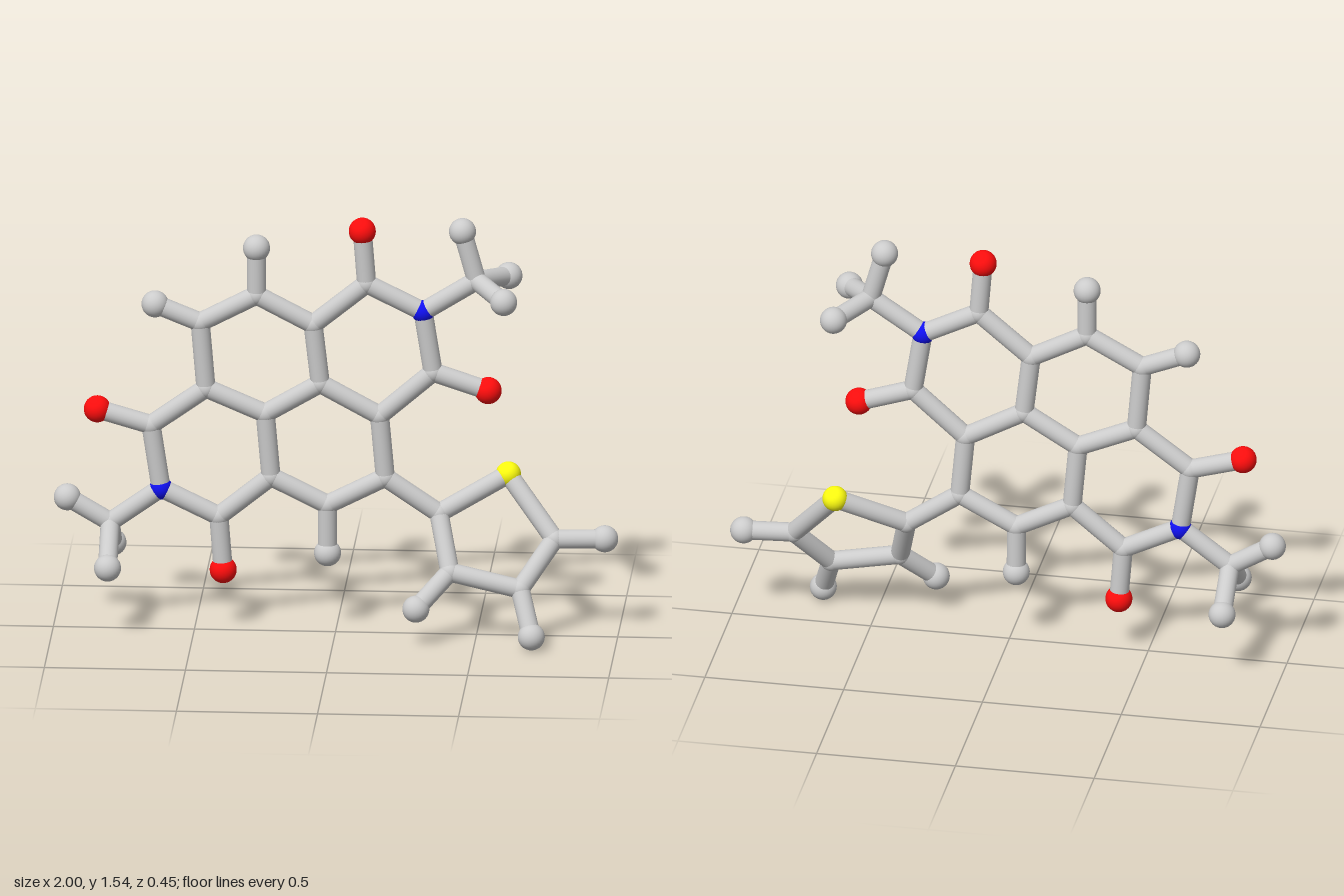
import * as THREE from 'three';

const BOND_RADIUS = 0.034;
const grey = new THREE.MeshStandardMaterial({ color: 0xcccccc });
const red = new THREE.MeshStandardMaterial({ color: 0xff0d0d });
const blue = new THREE.MeshStandardMaterial({ color: 0x1010f0 });
const yellow = new THREE.MeshStandardMaterial({ color: 0xffff10 });

// Sphere radius and material for each kind of atom
const KINDS = {
  carbon: [0.037, grey],
  hydrogen: [0.048, grey],
  oxygen: [0.048, red],
  nitrogen: [0.041, blue],
  sulfur: [0.045, yellow],
};

// The flat core leans very slightly: z follows height
const coreZ = (y) => -0.035 + 0.0245 * y;
// The five-sided side ring lies in its own tilted plane
const ringZ = (x, y) => -0.12 - 0.0935 * (x - 0.605) - 0.598 * (y - 0.56);

export function createModel() {
  const model = new THREE.Group();

  function addAtom(parent, kind, p) {
    const [radius, material] = KINDS[kind];
    const atom = new THREE.Mesh(new THREE.SphereGeometry(radius, 28, 18), material);
    atom.position.copy(p);
    atom.name = kind + 'Atom';
    parent.add(atom);
  }

  function addBond(parent, a, b) {
    const dir = b.clone().sub(a);
    const bond = new THREE.Mesh(new THREE.CylinderGeometry(BOND_RADIUS, BOND_RADIUS, dir.length(), 24), grey);
    bond.position.copy(a).addScaledVector(dir, 0.5);
    bond.quaternion.setFromUnitVectors(new THREE.Vector3(0, 1, 0), dir.normalize());
    bond.name = 'bond';
    parent.add(bond);
  }

  // Builds atoms [kind, x, y, z], then bonds between pairs of their names
  const points = {};
  function addPart(name, atoms, bonds) {
    const part = new THREE.Group();
    part.name = name;
    for (const [key, [kind, x, y, z]] of Object.entries(atoms)) {
      points[key] = new THREE.Vector3(x, y, z);
      addAtom(part, kind, points[key]);
    }
    for (const pair of bonds.split(' ')) {
      const [a, b] = pair.split('-');
      addBond(part, points[a], points[b]);
    }
    model.add(part);
  }

  const core = (kind, x, y) => [kind, x, y, coreZ(y)];
  const ring = (kind, x, y) => [kind, x, y, ringZ(x, y)];

  // Four fused six-sided rings
  addPart('fusedRings', {
    c1: core('carbon', 0.11, 1.29),
    n1: core('nitrogen', 0.31, 1.19),
    c2: core('carbon', 0.345, 0.965),
    c3: core('carbon', 0.155, 0.8),
    c4: core('carbon', -0.055, 0.915),
    c5: core('carbon', -0.08, 1.135),
    c6: core('carbon', -0.28, 1.24),
    c7: core('carbon', -0.48, 1.135),
    c8: core('carbon', -0.46, 0.89),
    c9: core('carbon', -0.25, 0.8),
    c10: core('carbon', -0.655, 0.75),
    n2: core('nitrogen', -0.62, 0.515),
    c11: core('carbon', -0.415, 0.415),
    c12: core('carbon', -0.23, 0.565),
    c13: core('carbon', -0.03, 0.465),
    c14: core('carbon', 0.175, 0.57),
  }, 'c1-n1 n1-c2 c2-c3 c3-c4 c4-c5 c5-c1 c5-c6 c6-c7 c7-c8 c8-c9 c9-c4 ' +
     'c8-c10 c10-n2 n2-c11 c11-c12 c12-c9 c12-c13 c13-c14 c14-c3');

  // Oxygen arms
  addPart('oxygenArms', {
    o1: core('oxygen', 0.095, 1.485),
    o2: core('oxygen', 0.54, 0.9),
    o3: core('oxygen', -0.845, 0.805),
    o4: core('oxygen', -0.4, 0.215),
  }, 'c1-o1 c2-o2 c10-o3 c11-o4');

  // Hydrogen arms of the core
  addPart('hydrogenArms', {
    h1: core('hydrogen', -0.28, 1.415),
    h2: core('hydrogen', -0.64, 1.2),
    h3: core('hydrogen', -0.03, 0.285),
  }, 'c6-h1 c7-h2 c13-h3');

  // Three-armed end groups
  addPart('upperMethyl', {
    m1: ['carbon', 0.5, 1.31, 0],
    m1a: ['hydrogen', 0.45, 1.49, 0],
    m1b: ['hydrogen', 0.605, 1.275, 0.145],
    m1c: ['hydrogen', 0.605, 1.285, -0.15],
  }, 'n1-m1 m1-m1a m1-m1b m1-m1c');
  addPart('lowerMethyl', {
    m2: ['carbon', -0.8, 0.385, -0.026],
    m2a: ['hydrogen', -0.952, 0.475, -0.024],
    m2b: ['hydrogen', -0.8, 0.26, 0.125],
    m2c: ['hydrogen', -0.8, 0.265, -0.175],
  }, 'n2-m2 m2-m2a m2-m2b m2-m2c');

  // Tilted five-sided ring with its own hydrogen arms
  addPart('sideRing', {
    t1: ring('carbon', 0.365, 0.44),
    s: ring('sulfur', 0.605, 0.56),
    t2: ring('carbon', 0.775, 0.355),
    t3: ring('carbon', 0.66, 0.2),
    t4: ring('carbon', 0.41, 0.255),
    h4: ring('hydrogen', 0.952, 0.355),
    h5: ring('hydrogen', 0.705, 0.05),
    h6: ring('hydrogen', 0.295, 0.14),
  }, 'c14-t1 t1-s s-t2 t2-t3 t3-t4 t4-t1 t2-h4 t3-h5 t4-h6');

  return model;
}
